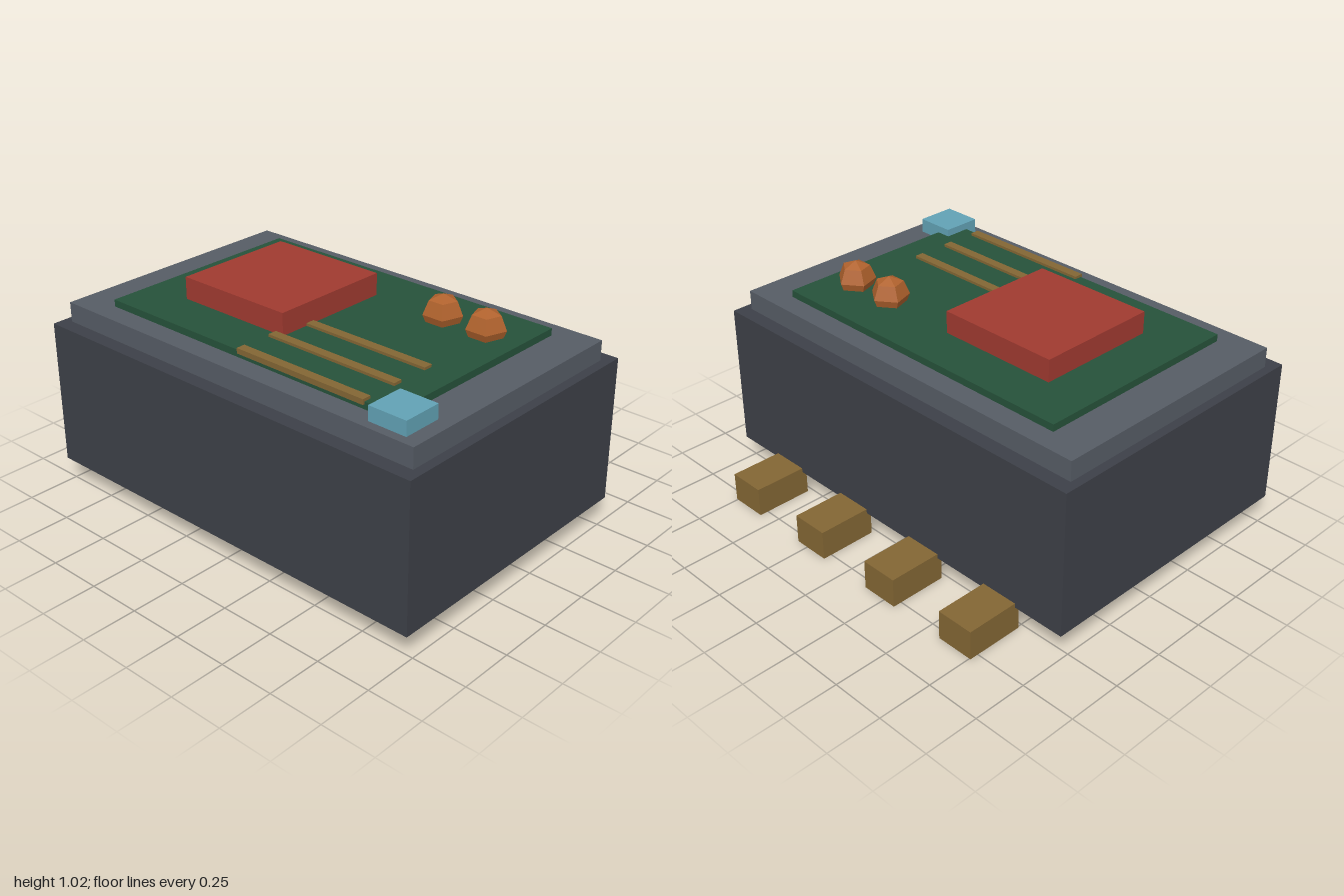
import * as THREE from 'three';

const material = (color) => new THREE.MeshStandardMaterial({ color, flatShading: true });

const mats = {
  casing: material(0x3d4048),
  lid: material(0x565c65),
  board: material(0x26523a),
  chip: material(0xa03a30),
  brass: material(0x836634),
  connector: material(0x62a2b5),
  copper: material(0xb0622d),
};

export function createModel() {
  const model = new THREE.Group();

  // Box given by its extents along each axis
  const box = (name, mat, [x0, x1], [y0, y1], [z0, z1]) => {
    const mesh = new THREE.Mesh(new THREE.BoxGeometry(x1 - x0, y1 - y0, z1 - z0), mat);
    mesh.position.set((x0 + x1) / 2, (y0 + y1) / 2, (z0 + z1) / 2);
    mesh.name = name;
    model.add(mesh);
  };

  // Stacked housing
  box('casing', mats.casing, [-1, 1], [0.115, 0.78], [-0.545, 0.787]);
  box('lid', mats.lid, [-0.96, 0.957], [0.78, 0.87], [-0.478, 0.72]);
  box('circuitBoard', mats.board, [-0.78, 0.777], [0.87, 0.902], [-0.38, 0.62]);

  // Parts on the board
  box('chip', mats.chip, [-0.557, 0.017], [0.9, 1.003], [-0.167, 0.408]);
  box('connector', mats.connector, [0.71, 0.89], [0.868, 0.935], [0.5, 0.68]);

  // Raised conductor strips
  for (const z of [0.25, 0.43, 0.607]) {
    box('trace', mats.brass, [-0.022, 0.64], [0.89, 0.914], [z - 0.021, z + 0.021]);
  }

  // Faceted five-sided domes, one corner pointing back
  for (const x of [0.397, 0.618]) {
    const dome = new THREE.Mesh(new THREE.SphereGeometry(0.088, 5, 4), mats.copper);
    dome.rotation.y = -Math.PI / 2;
    dome.position.set(x, 0.935, -0.145);
    dome.name = 'capacitor';
    model.add(dome);
  }

  // Terminal blocks along the lower back edge
  for (const x of [-0.668, -0.223, 0.223, 0.668]) {
    box('terminal', mats.brass, [x - 0.088, x + 0.088], [0, 0.135], [-0.79, -0.523]);
  }

  return model;
}
